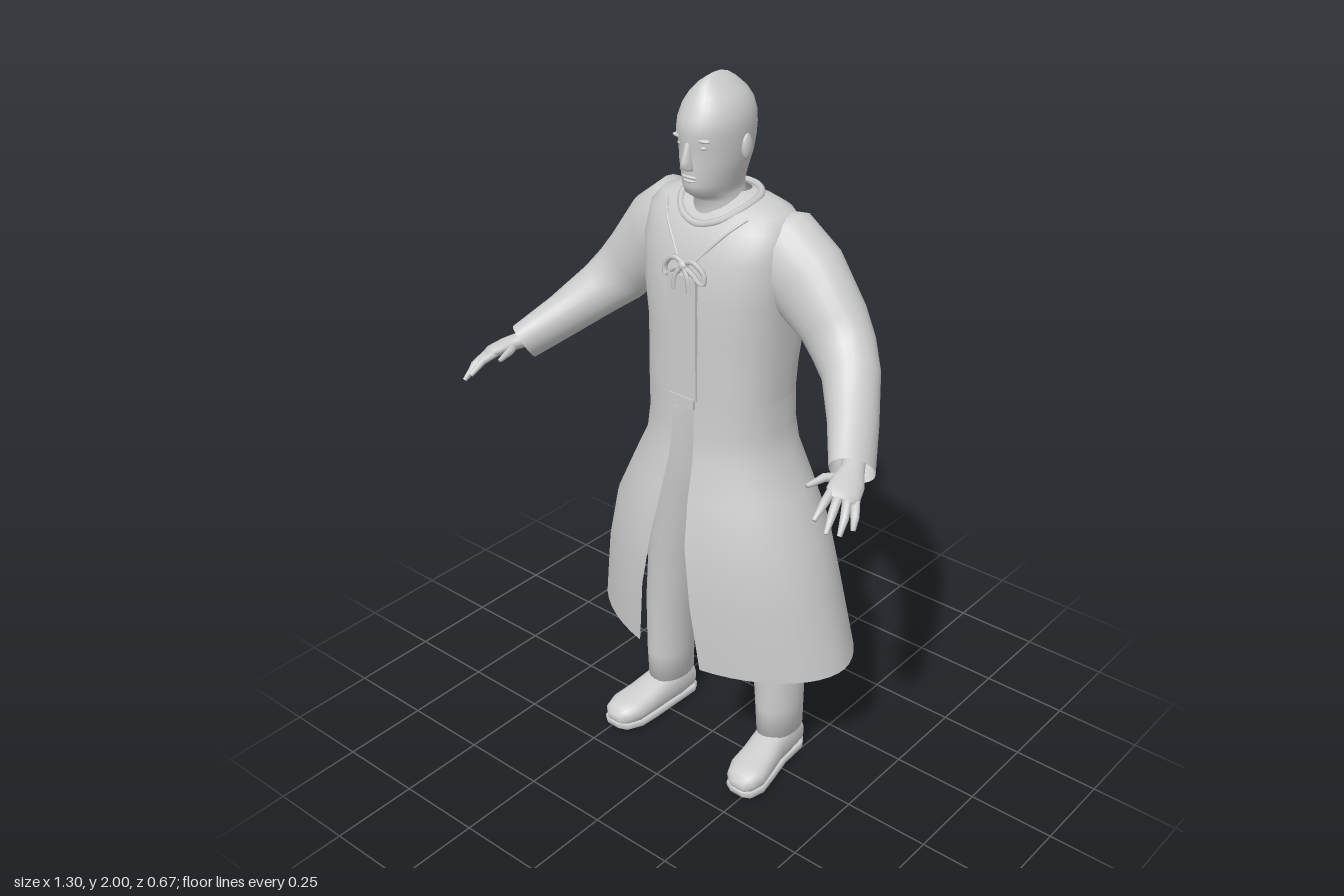
import * as THREE from 'three';

const grey = new THREE.MeshStandardMaterial({ color: 0xcccccc, side: THREE.DoubleSide });
grey.name = 'plain grey';
const V = (x, y, z) => new THREE.Vector3(x, y, z);

// Skin over oval sections [x, y, z, halfWidth, halfDepth, gap]; the depth axis follows "hint".
// gap leaves an opening of that half width on the hint side; power squares the ovals,
// running from its first to its second value along the loft.
function loft(sections, { hint = V(0, 0, 1), power = [2, 2], n = 24, cap = true, fixed = null } = {}) {
  const pos = [], idx = [], open = sections.some(s => s[5]), last = sections.length - 1;
  const at = i => V(...sections[Math.min(Math.max(i, 0), last)].slice(0, 3));
  const cols = open ? n + 1 : n;
  sections.forEach(([x, y, z, ru, rv, gap = 0], i) => {
    const d = fixed ? fixed.clone() : at(i + 1).sub(at(i - 1)).normalize();
    const v = hint.clone().addScaledVector(d, -hint.dot(d)).normalize();
    const u = d.clone().cross(v);
    const e = THREE.MathUtils.lerp(power[0], power[1], i / last);
    const start = Math.asin(Math.min(1, Math.pow(gap / ru, e / 2)));
    for (let j = 0; j < cols; j++) {
      const t = start + (j / n) * (Math.PI * 2 - 2 * start);
      const c = Math.cos(t), s = Math.sin(t);
      const p = V(x, y, z)
        .addScaledVector(u, Math.sign(s) * Math.pow(Math.abs(s), 2 / e) * ru)
        .addScaledVector(v, Math.sign(c) * Math.pow(Math.abs(c), 2 / e) * rv);
      pos.push(p.x, p.y, p.z);
    }
  });
  for (let i = 0; i < last; i++) {
    for (let j = 0; j < n; j++) {
      const k = open ? j + 1 : (j + 1) % n;
      const a = i * cols + j, b = i * cols + k, c = a + cols, d = b + cols;
      idx.push(a, b, d, a, d, c);
    }
  }
  if (cap && !open) {
    const base = pos.length / 3;
    pos.push(...sections[0].slice(0, 3), ...sections[last].slice(0, 3));
    for (let j = 0; j < n; j++) {
      const k = (j + 1) % n;
      idx.push(base, k, j, base + 1, last * n + j, last * n + k);
    }
  }
  const g = new THREE.BufferGeometry();
  g.setAttribute('position', new THREE.Float32BufferAttribute(pos, 3));
  g.setIndex(idx);
  g.computeVertexNormals();
  return g;
}

// Upright sections given as [y, halfWidth, front z, back z, gap]
const upright = list => list.map(([y, w, f, b, gap = 0]) => [0, y, (f + b) / 2, w, (f - b) / 2, gap]);
const UP = V(0, 1, 0);

export function createModel() {
  const root = new THREE.Group();
  root.name = 'robedMan';
  const add = (name, geometry, parent = root) => {
    const m = new THREE.Mesh(geometry, grey);
    m.name = name;
    parent.add(m);
    return m;
  };
  const ball = (name, x, y, z, a, b, c, parent = root) =>
    add(name, new THREE.SphereGeometry(1, 16, 12).scale(a, b, c).translate(x, y, z), parent);
  const cord = (name, pts, r, parent = root, closed = false) => add(name, new THREE.TubeGeometry(
    new THREE.CatmullRomCurve3(pts.map(p => V(...p)), closed), closed ? 40 : 14, r, 6, closed), parent);

  // Coat body running into the open skirt
  add('coatBody', loft(upright([
    [1.17, 0.199, 0.119, -0.202], [1.24, 0.2, 0.118, -0.21], [1.34, 0.205, 0.115, -0.23],
    [1.45, 0.213, 0.115, -0.202], [1.56, 0.22, 0.1, -0.187], [1.635, 0.217, 0.066, -0.173],
    [1.668, 0.19, 0.034, -0.153], [1.686, 0.14, 0.0, -0.132], [1.7, 0.06, -0.03, -0.11],
  ]), { power: [2.4, 2.4], n: 48, fixed: UP, cap: false }));
  add('coatSkirt', loft(upright([
    [0.39, 0.415, 0.2, -0.334, 0.11], [0.6, 0.37, 0.207, -0.303, 0.085], [0.77, 0.325, 0.192, -0.277, 0.06],
    [0.9, 0.262, 0.16, -0.247, 0.046], [1.0, 0.213, 0.132, -0.222, 0.04], [1.08, 0.2, 0.122, -0.208, 0.037],
    [1.17, 0.199, 0.119, -0.202, 0.034],
  ]), { power: [1.87, 2.4], n: 48, fixed: UP }));

  // Front placket, waist tab, seams and collar
  add('placket', new THREE.BoxGeometry(0.09, 0.34, 0.01).translate(0, 1.345, 0.117));
  add('waistTab', new THREE.BoxGeometry(0.08, 0.03, 0.014).translate(0, 1.165, 0.119));
  for (const s of [-1, 1]) {
    cord('yokeSeam', [[s * 0.13, 1.665, 0.022], [s * 0.1, 1.635, 0.057], [s * 0.03, 1.555, 0.1]], 0.004);
  }
  cord('collar', [
    [0, 1.636, 0.062], [0.06, 1.652, 0.046], [0.1, 1.683, -0.01], [0.095, 1.694, -0.075], [0.05, 1.698, -0.118],
    [0, 1.7, -0.126], [-0.05, 1.698, -0.118], [-0.095, 1.694, -0.075], [-0.1, 1.683, -0.01], [-0.06, 1.652, 0.046],
  ], 0.01, root, true);

  // Tied bow
  const bow = new THREE.Group();
  bow.name = 'bow';
  root.add(bow);
  ball('bowKnot', 0, 1.54, 0.113, 0.014, 0.014, 0.012, bow);
  for (const s of [-1, 1]) {
    cord('bowLoop', [[0, 1.545, 0.112], [s * 0.03, 1.556, 0.113], [s * 0.064, 1.525, 0.108],
      [s * 0.06, 1.5, 0.112], [s * 0.03, 1.525, 0.115], [0, 1.538, 0.114]], 0.007, bow);
    cord('bowEnd', [[0, 1.54, 0.114], [s * 0.018, 1.515, 0.12], [s * 0.026, 1.475, 0.122]], 0.007, bow);
  }

  // Head and neck
  add('head', loft(upright([
    [1.6, 0.075, 0.05, -0.115], [1.65, 0.065, 0.045, -0.11], [1.69, 0.06, 0.042, -0.107],
    [1.705, 0.054, 0.065, -0.107], [1.72, 0.056, 0.086, -0.108], [1.74, 0.062, 0.092, -0.11],
    [1.77, 0.07, 0.092, -0.117], [1.8, 0.078, 0.093, -0.126], [1.84, 0.083, 0.092, -0.133],
    [1.87, 0.086, 0.1, -0.135], [1.9, 0.085, 0.093, -0.133], [1.93, 0.077, 0.079, -0.124],
    [1.955, 0.06, 0.064, -0.108], [1.98, 0.033, 0.045, -0.08], [1.993, 0.014, 0.025, -0.058],
    [2, 0.003, 0.0, -0.035],
  ]), { n: 32, fixed: UP }));
  const face = new THREE.Group();
  face.name = 'face';
  root.add(face);
  add('nose', loft([
    [0, 1.782, 0.09, 0.015, 0.012], [0, 1.79, 0.094, 0.016, 0.023], [0, 1.805, 0.092, 0.012, 0.022],
    [0, 1.85, 0.088, 0.008, 0.012],
  ], { n: 12, fixed: UP }), face);
  ball('upperLip', 0, 1.764, 0.086, 0.024, 0.005, 0.01, face);
  ball('lowerLip', 0, 1.754, 0.085, 0.02, 0.005, 0.011, face);
  for (const s of [-1, 1]) {
    ball('eye', s * 0.033, 1.84, 0.074, 0.013, 0.006, 0.01, face);
    ball('brow', s * 0.034, 1.859, 0.078, 0.024, 0.006, 0.012, face);
    ball('ear', s * 0.084, 1.828, -0.03, 0.01, 0.033, 0.018, face);
  }

  for (const s of [-1, 1]) {
    const side = s > 0 ? 'left' : 'right';
    const m = list => list.map(([x, ...rest]) => [s * x, ...rest]);

    // Sleeve with an open cuff
    const arm = new THREE.Group();
    arm.name = side + 'Arm';
    root.add(arm);
    add('sleeve', loft(m([
      [0.08, 1.585, -0.065, 0.08, 0.07], [0.17, 1.563, -0.068, 0.12, 0.094], [0.24, 1.512, -0.075, 0.115, 0.09],
      [0.33, 1.415, -0.075, 0.094, 0.08], [0.375, 1.362, -0.06, 0.086, 0.075], [0.42, 1.315, -0.03, 0.074, 0.074],
      [0.49, 1.24, 0.055, 0.059, 0.07], [0.556, 1.173, 0.147, 0.049, 0.066],
    ]), { cap: false, hint: V(0, 0.3, 1) }), arm);

    // Hand: palm, fingers and thumb
    const hand = new THREE.Group();
    hand.name = side + 'Hand';
    arm.add(hand);
    add('palm', loft(m([
      [0.53, 1.2, 0.1, 0.03, 0.026], [0.563, 1.178, 0.155, 0.03, 0.023], [0.58, 1.172, 0.195, 0.041, 0.02],
      [0.594, 1.163, 0.235, 0.043, 0.017], [0.6, 1.155, 0.25, 0.036, 0.012],
    ]), { hint: V(s * 0.35, 0.9, 0), n: 16 }), hand);
    const fingers = [
      [[0.568, 1.172, 0.24], [0.577, 1.158, 0.285], [0.58, 1.13, 0.328]],
      [[0.588, 1.164, 0.245], [0.603, 1.142, 0.287], [0.612, 1.104, 0.324]],
      [[0.608, 1.155, 0.238], [0.626, 1.127, 0.272], [0.632, 1.093, 0.298]],
      [[0.62, 1.148, 0.222], [0.638, 1.123, 0.247], [0.645, 1.096, 0.262]],
      [[0.557, 1.175, 0.185], [0.53, 1.18, 0.225], [0.518, 1.175, 0.275]],
    ];
    const girth = [0.012, 0.011, 0.006];
    fingers.forEach((pts, i) => add(i < 4 ? 'finger' : 'thumb', loft(
      m(pts.map((p, k) => [...p, girth[k], girth[k]])), { hint: V(0.1, 1, 0), n: 10 }), hand));

    // Trouser leg
    add(side + 'TrouserLeg', loft(m([
      [0.208, 0.105, -0.055, 0.058, 0.08], [0.207, 0.2, -0.053, 0.063, 0.08], [0.2, 0.38, -0.055, 0.072, 0.084],
      [0.165, 0.6, -0.05, 0.085, 0.093], [0.118, 0.82, -0.045, 0.1, 0.105], [0.098, 0.93, -0.045, 0.102, 0.116],
      [0.09, 1.1, -0.045, 0.1, 0.125], [0.088, 1.2, -0.045, 0.098, 0.125],
    ]), { fixed: UP }));

    // Shoe with a flat sole
    const shoe = new THREE.Group();
    shoe.name = side + 'Shoe';
    root.add(shoe);
    add('shoeUpper', loft(m([
      [0.206, 0.05, -0.132, 0.03, 0.035], [0.207, 0.062, -0.115, 0.045, 0.05], [0.209, 0.066, -0.05, 0.052, 0.056],
      [0.213, 0.064, 0.0, 0.052, 0.054], [0.222, 0.053, 0.06, 0.056, 0.043], [0.23, 0.047, 0.12, 0.06, 0.036],
      [0.234, 0.043, 0.16, 0.046, 0.028], [0.236, 0.036, 0.176, 0.024, 0.015],
    ]), { hint: UP, power: [2.4, 2.4], n: 20, fixed: V(0, 0, 1) }), shoe);
    add('sole', loft(m([
      [0.206, 0.012, -0.134, 0.032, 0.012], [0.207, 0.012, -0.11, 0.046, 0.012], [0.212, 0.012, -0.02, 0.048, 0.012],
      [0.222, 0.012, 0.06, 0.056, 0.012], [0.23, 0.013, 0.12, 0.06, 0.012], [0.235, 0.016, 0.165, 0.045, 0.012],
      [0.237, 0.018, 0.178, 0.024, 0.01],
    ]), { hint: UP, power: [5, 5], n: 20, fixed: V(0, 0, 1) }), shoe);
  }
  return root;
}
